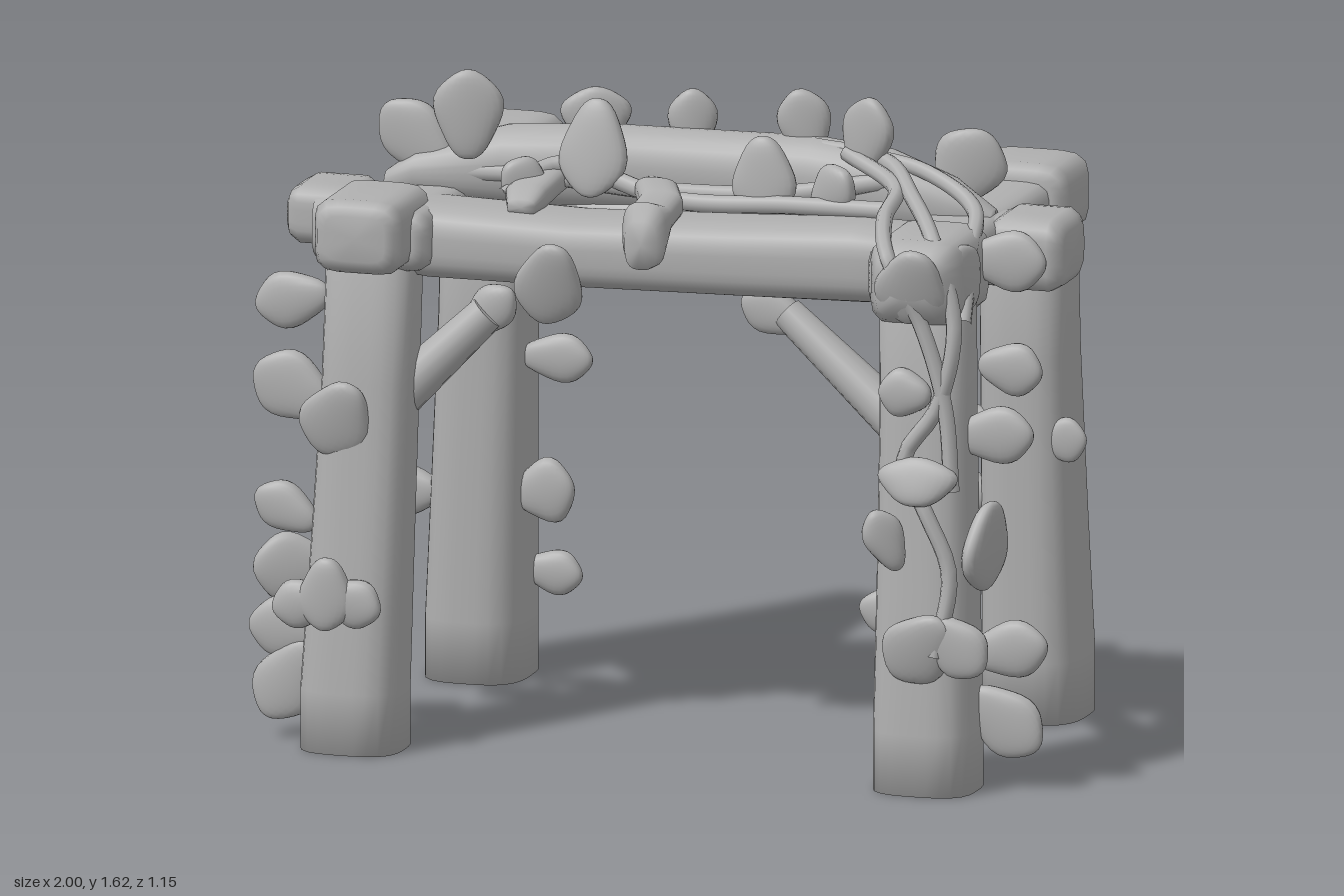
import * as THREE from 'three';

const stone = new THREE.MeshStandardMaterial({ color: 0xb0b0b0 });
stone.name = 'plain grey';
const SIDES = 28;

// Rounded-square beam lofted along an axis; sections are [x, y, z, halfU, halfV]
// (axis x: u=y v=z, axis y: u=z v=x, axis z: u=x v=y), in ascending order.
function beam(name, axis, sections, power = 4) {
  const ai = 'xyz'.indexOf(axis), ui = (ai + 1) % 3, vi = (ai + 2) % 3;
  const pos = [], idx = [];
  for (const s of sections) {
    for (let j = 0; j < SIDES; j++) {
      const t = (j / SIDES) * Math.PI * 2, c = Math.cos(t), n = Math.sin(t);
      const k = Math.pow(Math.abs(c) ** power + Math.abs(n) ** power, -1 / power);
      const p = [s[0], s[1], s[2]];
      p[ui] += c * k * s[3];
      p[vi] += n * k * s[4];
      pos.push(...p);
    }
  }
  for (let i = 0; i < sections.length - 1; i++) {
    for (let j = 0; j < SIDES; j++) {
      const a = i * SIDES + j, b = i * SIDES + (j + 1) % SIDES;
      idx.push(a, b, b + SIDES, a, b + SIDES, a + SIDES);
    }
  }
  // softly shaded end caps
  for (const [i, flip] of [[0, true], [sections.length - 1, false]]) {
    const center = pos.length / 3;
    pos.push(...sections[i].slice(0, 3));
    for (let j = 0; j < SIDES; j++) {
      const a = i * SIDES + j, b = i * SIDES + (j + 1) % SIDES;
      idx.push(center, flip ? b : a, flip ? a : b);
    }
  }
  const g = new THREE.BufferGeometry();
  g.setAttribute('position', new THREE.Float32BufferAttribute(pos, 3));
  g.setIndex(idx);
  g.computeVertexNormals();
  const m = new THREE.Mesh(g, stone);
  m.name = name;
  return m;
}

// Block with softened ends, given its bounds
function block(name, axis, x0, x1, y0, y1, z0, z1, soft = 0.035) {
  const ai = 'xyz'.indexOf(axis), lo = [x0, y0, z0], hi = [x1, y1, z1];
  const mid = lo.map((v, i) => (v + hi[i]) / 2), half = lo.map((v, i) => (hi[i] - v) / 2);
  const hu = half[(ai + 1) % 3], hv = half[(ai + 2) % 3];
  const rows = [[lo[ai], soft], [lo[ai] + soft * 0.3, soft * 0.4], [lo[ai] + soft, 0],
    [hi[ai] - soft, 0], [hi[ai] - soft * 0.3, soft * 0.4], [hi[ai], soft]];
  return beam(name, axis, rows.map(([t, d]) => {
    const c = [...mid];
    c[ai] = t;
    return [...c, hu - d, hv - d];
  }), 5);
}

// Thick lobed leaf: flattened sphere, narrow root at -y and broad tip at +y
const leafGeometry = new THREE.SphereGeometry(1, 24, 16);
{
  const p = leafGeometry.attributes.position;
  for (let i = 0; i < p.count; i++) {
    const x = p.getX(i), y = p.getY(i), z = p.getZ(i);
    const lobes = 1 + 0.03 * Math.cos(5 * Math.atan2(x, y)) * Math.hypot(x, y);
    p.setXYZ(i, x * lobes * (0.96 + 0.25 * y - 0.12 * y * y), y * lobes,
      Math.sign(z) * Math.abs(z) ** 0.75 + 0.2 * y * y);
  }
  leafGeometry.computeVertexNormals();
}
function leaf(name, [x, y, z, w, h, roll = 0, yaw = 0, pitch = 0, thick = 0.03]) {
  const m = new THREE.Mesh(leafGeometry, stone);
  m.name = name;
  m.position.set(x, y, z);
  m.scale.set(w, h, thick);
  m.rotation.set(pitch, yaw, roll, 'YXZ');
  return m;
}

function vine(name, radius, points) {
  const curve = new THREE.CatmullRomCurve3(points.map(p => new THREE.Vector3(...p)));
  const m = new THREE.Mesh(new THREE.TubeGeometry(curve, 48, radius, 8), stone);
  m.name = name;
  return m;
}

// Tapered diagonal branch
function brace(name, from, to, r0, r1) {
  const a = new THREE.Vector3(...from), b = new THREE.Vector3(...to), d = b.clone().sub(a);
  const m = new THREE.Mesh(new THREE.CylinderGeometry(r1, r0, d.length(), 14), stone);
  m.position.copy(a).add(b).multiplyScalar(0.5);
  m.quaternion.setFromUnitVectors(new THREE.Vector3(0, 1, 0), d.normalize());
  m.name = name;
  return m;
}

export function createModel() {
  const g = new THREE.Group();
  g.name = 'leafyPergola';

  // Four posts, slightly leaning and wider at the foot
  const post = (name, x, z, topX, topZ, hz) => g.add(beam(name, 'y', [
    [x, 0, z, hz, 0.125], [x, 0.15, z, hz, 0.125],
    [x + (topX - x) * 0.35, 0.5, z + (topZ - z) * 0.4, hz * 0.93, 0.118],
    [x + (topX - x) * 0.75, 0.9, z + (topZ - z) * 0.8, hz * 0.84, 0.112],
    [topX, 1.25, topZ, hz * 0.77, 0.112]], 3.2));
  post('frontRightPost', -0.725, 0.398, -0.69, 0.35, 0.115);
  post('frontLeftPost', 0.715, 0.398, 0.7, 0.35, 0.115);
  post('backRightPost', -0.675, -0.44, -0.64, -0.405, 0.14);
  post('backLeftPost', 0.725, -0.44, 0.71, -0.405, 0.14);

  // Side beams with chunky ends
  g.add(
    block('rightSideBeam', 'z', -0.75, -0.53, 1.18, 1.33, -0.5, 0.45),
    block('rightBeamFrontEnd', 'z', -0.79, -0.57, 1.19, 1.37, 0.27, 0.55),
    block('rightBeamBackEnd', 'z', -0.72, -0.49, 1.18, 1.37, -0.55, -0.31),
    block('leftSideBeam', 'z', 0.57, 0.79, 1.17, 1.33, -0.5, 0.45),
    block('leftBeamBackEnd', 'z', 0.57, 0.83, 1.18, 1.37, -0.54, -0.32),
    block('leftBeamFrontEnd', 'z', 0.58, 0.81, 1.14, 1.35, 0.15, 0.5, 0.07));

  // Cross beams
  g.add(
    beam('frontCrossBeam', 'x', [[-0.85, 1.25, 0.25, 0.08, 0.1], [-0.55, 1.24, 0.28, 0.09, 0.125],
      [-0.2, 1.235, 0.275, 0.085, 0.125], [0.2, 1.24, 0.25, 0.09, 0.12],
      [0.5, 1.25, 0.25, 0.095, 0.11], [0.76, 1.25, 0.25, 0.09, 0.1]], 3.5),
    block('frontCrossBeamEnd', 'x', -0.93, -0.74, 1.2, 1.345, 0.11, 0.33),
    beam('middleCrossBeam', 'x', [[-0.75, 1.24, 0, 0.08, 0.09], [-0.4, 1.24, 0, 0.085, 0.1],
      [0, 1.23, -0.01, 0.085, 0.1], [0.45, 1.24, -0.01, 0.085, 0.1],
      [0.85, 1.24, -0.01, 0.085, 0.1]], 3.5),
    block('middleCrossBeamEnd', 'x', 0.76, 0.95, 1.155, 1.335, -0.13, 0.1));

  // Thick creeper lying on the middle beam
  g.add(beam('creeperTrunk', 'x', [[-0.74, 1.32, 0.1, 0.03, 0.03], [-0.66, 1.35, 0.08, 0.06, 0.08],
    [-0.45, 1.37, 0.05, 0.1, 0.09], [-0.2, 1.375, 0.02, 0.105, 0.085], [0.05, 1.37, -0.015, 0.105, 0.085],
    [0.3, 1.375, -0.01, 0.105, 0.085], [0.5, 1.365, 0.01, 0.1, 0.08],
    [0.66, 1.34, 0.02, 0.07, 0.06], [0.76, 1.32, 0.02, 0.02, 0.03]], 2.3));

  // Broad creeper straps hanging over the front beam
  g.add(
    beam('middleStrap', 'z', [[-0.07, 1.35, 0.1, 0.03, 0.03], [-0.04, 1.36, 0.17, 0.055, 0.035],
      [0, 1.35, 0.26, 0.055, 0.035], [0.005, 1.34, 0.36, 0.055, 0.035],
      [0.005, 1.31, 0.41, 0.055, 0.08], [0.005, 1.29, 0.44, 0.04, 0.06]], 3),
    beam('rightStrap', 'z', [[-0.3, 1.37, 0.1, 0.03, 0.03], [-0.33, 1.36, 0.16, 0.05, 0.035],
      [-0.34, 1.345, 0.26, 0.052, 0.035], [-0.33, 1.335, 0.33, 0.035, 0.02]], 3));

  // Diagonal branches under the front beam
  g.add(
    brace('rightBrace', [-0.66, 0.83, 0.33], [-0.43, 1.06, 0.28], 0.06, 0.045),
    brace('leftBrace', [0.68, 0.82, 0.33], [0.32, 1.11, 0.27], 0.06, 0.04));

  // Thin vines
  const vines = [
    [[0.3, 1.46, 0], [0.5, 1.45, 0.06], [0.62, 1.4, 0.22], [0.74, 1.33, 0.42], [0.8, 1.15, 0.46],
      [0.76, 0.95, 0.47], [0.68, 0.82, 0.48], [0.74, 0.7, 0.5], [0.8, 0.55, 0.5], [0.77, 0.35, 0.52]],
    [[0.4, 1.46, 0.05], [0.56, 1.41, 0.17], [0.58, 1.37, 0.32], [0.64, 1.31, 0.48], [0.72, 1.15, 0.47],
      [0.78, 0.95, 0.47], [0.8, 0.75, 0.48]],
    [[0.44, 1.45, 0.02], [0.6, 1.43, 0.06], [0.75, 1.37, 0.15], [0.79, 1.3, 0.3], [0.81, 1.15, 0.42]],
    [[-0.62, 1.36, 0.12], [-0.35, 1.37, 0.13], [-0.05, 1.35, 0.12], [0.25, 1.36, 0.11], [0.5, 1.4, 0.07]],
    [[-0.4, 1.34, 0.25], [-0.3, 1.4, 0.13], [0, 1.34, 0.16], [0.3, 1.35, 0.17], [0.55, 1.36, 0.2]]];
  vines.forEach((p, i) => g.add(vine('vine' + (i + 1), i < 3 ? 0.02 : 0.023, p)));

  // Leaves as [x, y, z, halfWidth, halfLength, roll, yaw, pitch, thickness]
  const groups = {
    frontRightPostLeaf: [
      [-0.89, 1.08, 0.36, 0.07, 0.095, 1.8], [-0.89, 0.86, 0.36, 0.085, 0.105, 1.1],
      [-0.75, 0.82, 0.46, 0.09, 0.1, 2.7, 0, 0.2], [-0.91, 0.56, 0.35, 0.06, 0.085, 1.1],
      [-0.9, 0.41, 0.32, 0.085, 0.1, 1.5, 0.3], [-0.82, 0.37, 0.51, 0.06, 0.075, 1.8],
      [-0.7, 0.38, 0.51, 0.06, 0.075, -1.9], [-0.76, 0.4, 0.52, 0.07, 0.09, 3.1],
      [-0.9, 0.27, 0.36, 0.075, 0.1, 1.5], [-0.9, 0.15, 0.37, 0.08, 0.11, 2.6]],
    frontLeftPostLeaf: [
      [0.86, 1.27, 0.24, 0.075, 0.1, -1.6], [0.89, 1.02, 0.3, 0.065, 0.08, -1.7],
      [0.87, 0.87, 0.37, 0.07, 0.1, -1.5], [0.68, 0.98, 0.46, 0.06, 0.065, 1.5],
      [0.72, 0.77, 0.5, 0.1, 0.06, 0, 0, -0.3], [0.85, 0.6, 0.37, 0.1, 0.11, 3.14, 1.4, 0.1],
      [0.73, 0.37, 0.51, 0.085, 0.1, 2.4, 0, 0.2], [0.82, 0.38, 0.51, 0.07, 0.09, -2.3],
      [0.9, 0.34, 0.35, 0.07, 0.1, -1.4], [0.89, 0.17, 0.355, 0.08, 0.11, -2.2],
      [0.7, 1.25, 0.48, 0.09, 0.1, 2.9, 0, 0.3], [0.65, 0.63, 0.53, 0.05, 0.08, 0.4, 0.5],
      [0.62, 1.06, 0.24, 0.06, 0.09, 2.4, 0.6], [0.6, 0.4, 0.32, 0.055, 0.08, 1.3],
      [0.79, 1.25, 0.38, 0.08, 0.085, 0.4, 1.3]],
    backRightPostLeaf: [
      [-0.47, 0.8, -0.385, 0.06, 0.09, -1.6], [-0.5, 0.47, -0.385, 0.08, 0.075, -1.4],
      [-0.51, 0.25, -0.48, 0.055, 0.075, -1.7], [-0.82, 0.45, -0.38, 0.06, 0.065, 1.6]],
    backLeftPostLeaf: [
      [0.59, 0.72, -0.33, 0.06, 0.08, 1.6], [0.58, 0.55, -0.36, 0.055, 0.07, 1.4],
      [0.82, 0.7, -0.33, 0.055, 0.06, -1.5, 0, 0, 0.02], [0.6, 0.38, -0.34, 0.07, 0.085, 1.6]],
    roofLeaf: [
      [-0.52, 1.51, 0.15, 0.085, 0.11, 0, 0.2], [-0.66, 1.43, 0.1, 0.08, 0.115, 0.8],
      [-0.26, 1.48, -0.04, 0.085, 0.075, 0, 0.3], [-0.21, 1.45, 0.13, 0.085, 0.12, 3.1, 0, -0.2],
      [-0.02, 1.48, -0.05, 0.06, 0.085, 0, 0.3], [0.22, 1.41, 0.14, 0.08, 0.1, 3.2, 0, -0.1],
      [0.27, 1.5, -0.03, 0.065, 0.09, 0.2, 0.2], [0.45, 1.5, 0.05, 0.07, 0.1, -0.2, -0.3],
      [0.67, 1.42, -0.05, 0.09, 0.1, -0.5, 0.2], [-0.36, 1.37, 0.2, 0.055, 0.065, 0.9, 0.5],
      [0.4, 1.39, 0.16, 0.06, 0.07, -0.8, -0.4]],
    frontBeamLeaf: [
      [-0.23, 1.18, 0.42, 0.085, 0.11, 2.9, 0, 0.3], [-0.43, 1.06, 0.27, 0.055, 0.08, -0.8],
      [0.29, 1.11, 0.27, 0.06, 0.085, 1.2]]
  };
  for (const [name, list] of Object.entries(groups)) {
    list.forEach((l, i) => g.add(leaf(name + (i + 1), l)));
  }
  return g;
}
